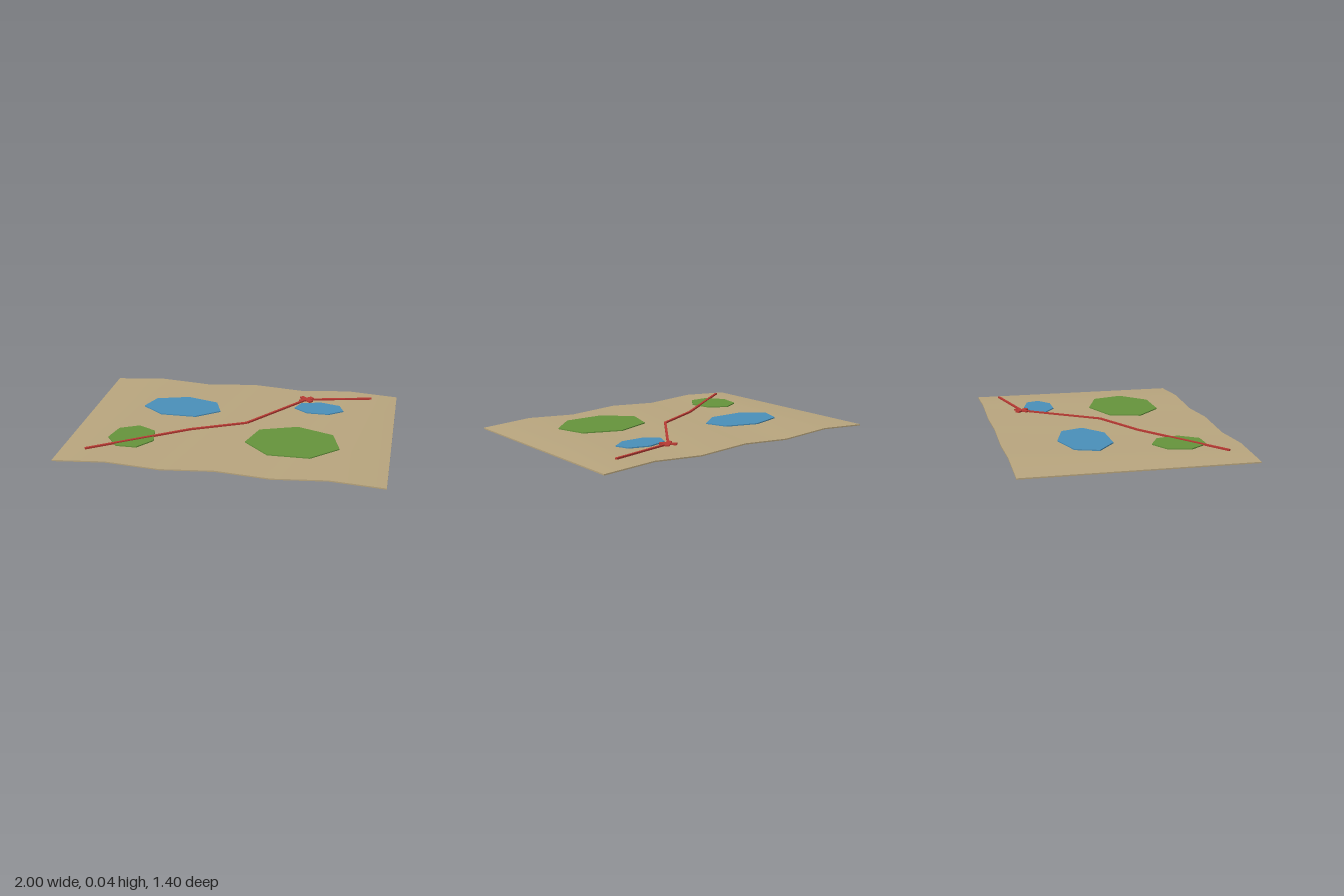
import * as THREE from 'three';

const material = (name, color) => {
  const m = new THREE.MeshStandardMaterial({ color });
  m.name = name;
  return m;
};

export function createModel() {
  const map = new THREE.Group();
  map.name = 'map';
  const paper = material('parchment tan', 0xb8a57e);
  const water = material('water blue', 0x4a8fb9);
  const land = material('forest green', 0x65943c);
  const ink = material('route red', 0xb83a33);

  const add = (name, geometry, mat, parent = map) => {
    const mesh = new THREE.Mesh(geometry, mat);
    mesh.name = name;
    parent.add(mesh);
    return mesh;
  };

  // Thin sheet with gentle alternating folds
  const sheet = new THREE.BoxGeometry(2, 0.008, 1.4, 6, 1, 1);
  const pos = sheet.attributes.position;
  for (let i = 0; i < pos.count; i++) {
    const fold = Math.round((pos.getX(i) + 1) * 3);
    pos.setY(i, pos.getY(i) + 0.004 + (fold % 2 ? 0.02 : 0));
  }
  sheet.computeVertexNormals();
  add('sheet', sheet, paper);

  // Seven-sided lakes and forests, one corner towards the back
  const patches = [
    ['largeLake', water, -0.4, -0.2, 0.267, 0.167],
    ['smallLake', water, 0.5, -0.335, 0.167, 0.1],
    ['smallForest', land, -0.6, 0.333, 0.15, 0.167],
    ['largeForest', land, 0.4, 0.233, 0.3, 0.233],
  ];
  for (const [name, mat, x, z, rx, rz] of patches) {
    const plate = new THREE.CylinderGeometry(1, 1, 0.007, 7).toNonIndexed();
    plate.rotateY(Math.PI).scale(rx, 1, rz);
    plate.computeVertexNormals();
    add(name, plate, mat).position.set(x, 0.0345, z);
  }

  // Straight route segments
  const route = new THREE.Group();
  route.name = 'route';
  map.add(route);
  const stops = [[-0.833, 0.567], [-0.267, 0.167], [0.067, 0], [0.397, -0.467], [0.833, -0.567]];
  for (let i = 1; i < stops.length; i++) {
    const [x0, z0] = stops[i - 1];
    const [x1, z1] = stops[i];
    const dx = x1 - x0, dz = z1 - z0;
    const bar = add('routeSegment' + i, new THREE.BoxGeometry(Math.hypot(dx, dz), 0.01, 0.015), ink, route);
    bar.position.set((x0 + x1) / 2, 0.039, (z0 + z1) / 2);
    bar.rotation.y = -Math.atan2(dz, dx);
  }

  // Crossed bars marking the destination
  const cross = new THREE.Group();
  cross.name = 'destinationMark';
  cross.position.set(0.397, 0.04, -0.467);
  map.add(cross);
  for (const side of [-1, 1]) {
    const bar = add('crossBar', new THREE.BoxGeometry(0.105, 0.01, 0.03), ink, cross);
    bar.rotation.y = side * Math.PI / 4;
  }
  return map;
}
